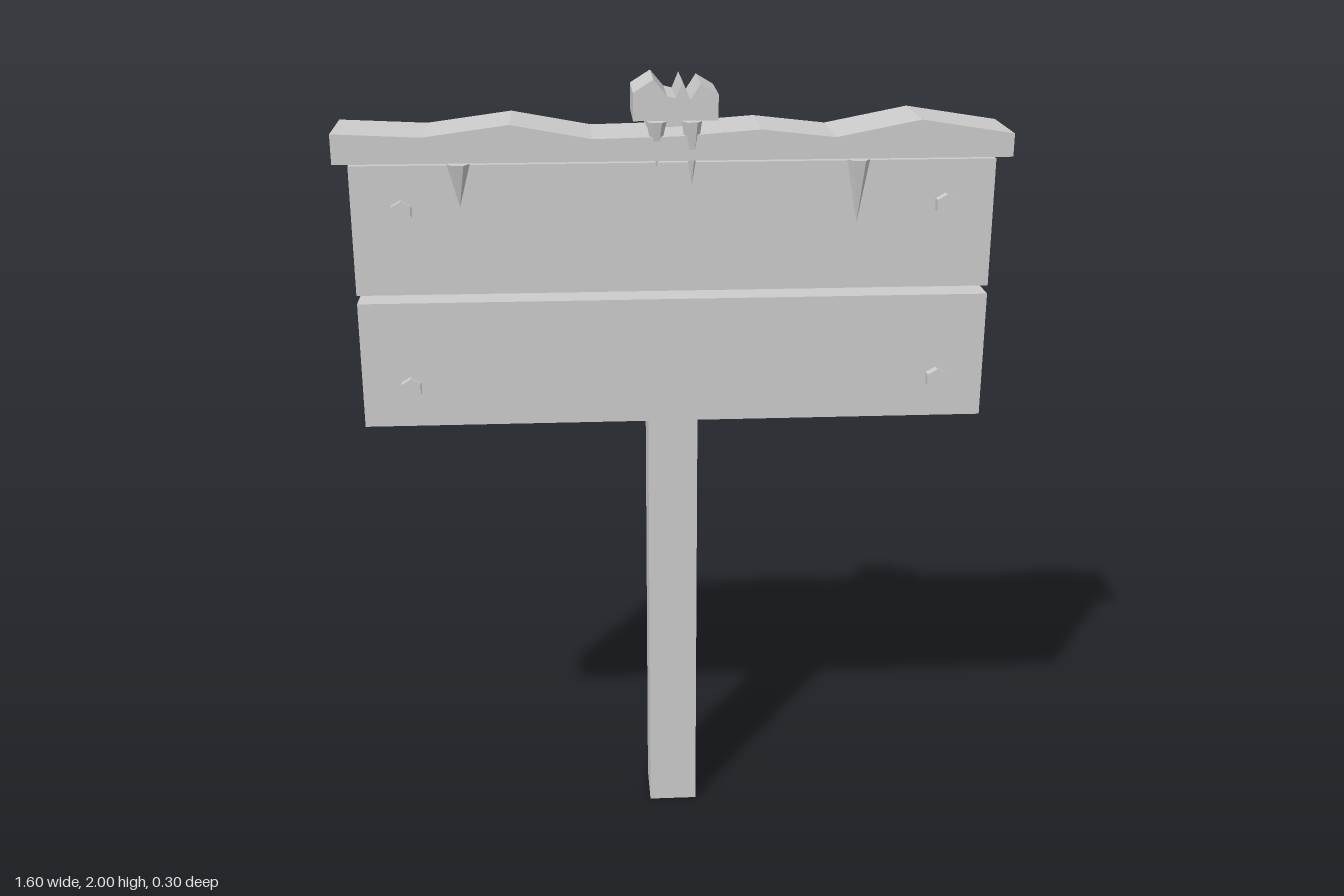
import * as THREE from 'three';

export function createModel() {
  const model = new THREE.Group();
  const grey = new THREE.MeshStandardMaterial({ color: 0xcccccc });
  grey.name = 'light grey';
  grey.flatShading = true;

  const add = (name, geometry, x = 0, y = 0, z = 0) => {
    const mesh = new THREE.Mesh(geometry, grey);
    mesh.name = name;
    mesh.position.set(x, y, z);
    model.add(mesh);
    return mesh;
  };

  // Box given by its lower and upper limits
  const box = (name, [x0, x1], [y0, y1], [z0, z1]) =>
    add(name, new THREE.BoxGeometry(x1 - x0, y1 - y0, z1 - z0),
      (x0 + x1) / 2, (y0 + y1) / 2, (z0 + z1) / 2);

  // Flat-bottomed slab with an uneven top, extruded from z0 to z1
  const slab = (name, bottom, top, z0, z1) => {
    const first = top[0], last = top[top.length - 1];
    const outline = [[first[0], bottom], [last[0], bottom], ...[...top].reverse()];
    const shape = new THREE.Shape(outline.map(([x, y]) => new THREE.Vector2(x, y)));
    add(name, new THREE.ExtrudeGeometry(shape, { depth: z1 - z0, bevelEnabled: false }), 0, 0, z0);
  };

  // Six-sided spike hanging down from yTop, corners on the x axis
  const icicle = (name, x, yTop, yTip, z, radius) => {
    const h = yTop - yTip;
    const geometry = new THREE.ConeGeometry(radius, h, 6);
    geometry.rotateY(Math.PI / 6).rotateX(Math.PI);
    add(name, geometry, x, yTop - h / 2, z);
  };

  // Post and the two sign boards
  box('post', [-0.063, 0.063], [0, 1.9], [-0.151, -0.005]);
  box('upperBoard', [-0.767, 0.767], [1.494, 1.806], [-0.052, 0.094]);
  box('lowerBoard', [-0.767, 0.767], [1.16, 1.473], [-0.052, 0.094]);

  // Hexagonal bolt heads, just proud of the boards
  for (const x of [-0.647, 0.647]) {
    for (const y of [1.701, 1.264]) {
      const geometry = new THREE.CylinderGeometry(0.027, 0.027, 0.024, 6);
      geometry.rotateX(Math.PI / 2);
      add('bolt', geometry, x, y, 0.116);
    }
  }

  // Snow lying along the top of the boards
  slab('snowLayer', 1.815, [
    [-0.8, 1.886], [-0.59, 1.876], [-0.387, 1.903], [-0.196, 1.868], [0, 1.872],
    [0.2, 1.886], [0.376, 1.866], [0.577, 1.905], [0.8, 1.87],
  ], -0.076, 0.122);

  // Jagged snow on top of the post
  slab('snowCap', 1.905, [
    [-0.1, 1.97], [-0.052, 2], [-0.02, 1.962], [0, 1.957],
    [0.016, 1.995], [0.034, 1.953], [0.058, 1.99], [0.1, 1.965],
  ], -0.06, 0.103);

  // Icicles under the snow layer and under the cap
  icicle('leftIcicle', 0.43, 1.815, 1.663, 0.127, 0.027);
  icicle('rightIcicle', -0.508, 1.815, 1.713, 0.127, 0.027);
  icicle('capIcicle', -0.046, 1.905, 1.8, 0.11, 0.024);
  icicle('capIcicle', 0.037, 1.905, 1.753, 0.11, 0.024);

  return model;
}
